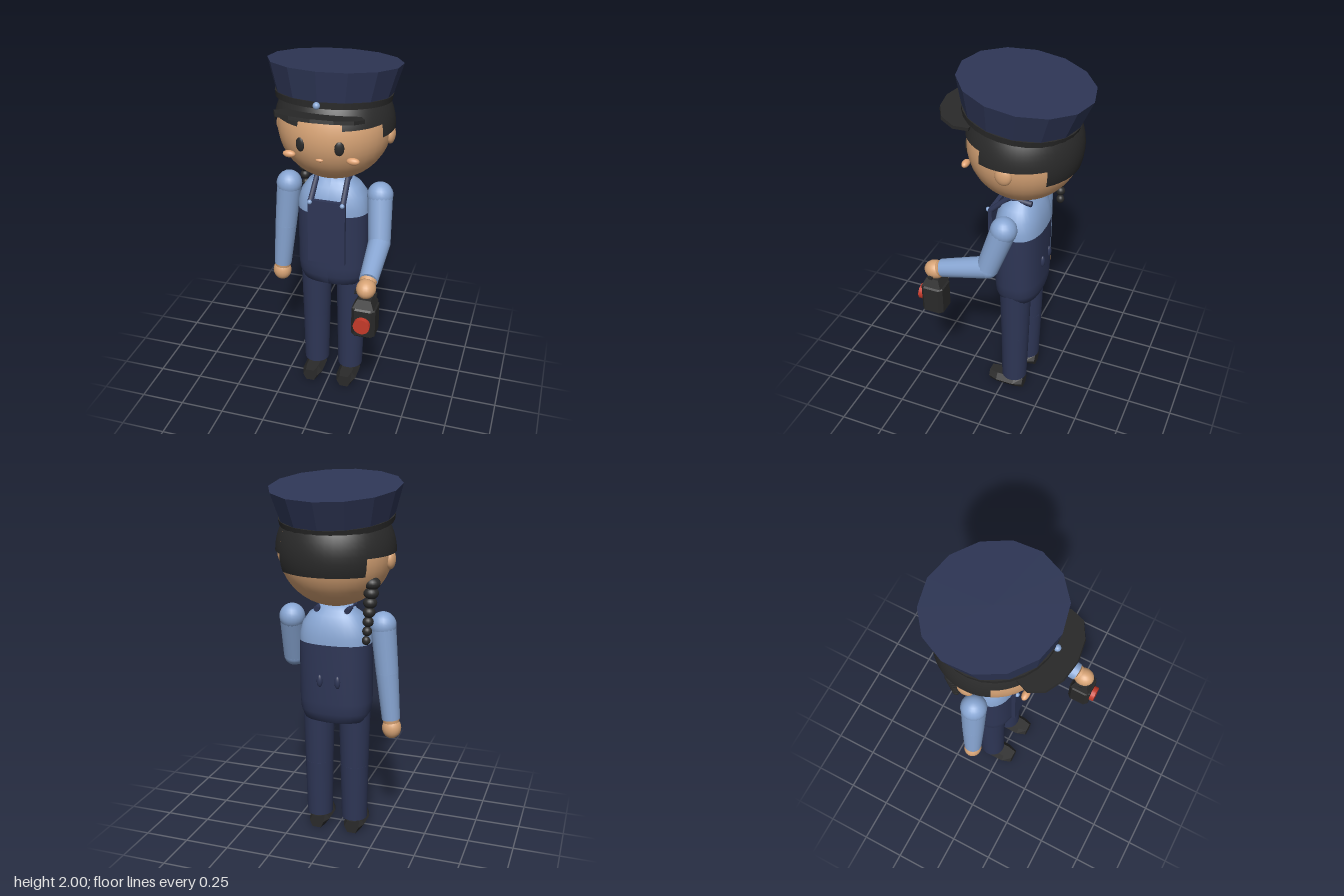
import * as THREE from 'three';

const CX = 0.005, CZ = -0.07; // body axis
const DEG = Math.PI / 180;
const V = (x, y, z) => new THREE.Vector3(x, y, z);

export function createModel() {
  const paint = (name, color, extra = {}) =>
    Object.assign(new THREE.MeshStandardMaterial({ color, ...extra }), { name });
  const navy = paint('navy', 0x2e3656);
  const navyFlat = paint('navy flat', 0x2e3656, { flatShading: true });
  const blue = paint('light blue', 0x88a6d3);
  const skin = paint('skin', 0xd8a476);
  const blush = paint('blush', 0xe2a474);
  const black = paint('black', 0x2a2a2a, { side: THREE.DoubleSide });
  const blackFlat = paint('black flat', 0x2a2a2a, { flatShading: true });
  const red = paint('red', 0xc63a2a);

  const root = new THREE.Group();
  root.name = 'figure';
  const add = (name, geo, mat, pos = V(0, 0, 0), parent = root) => {
    const m = new THREE.Mesh(geo, mat);
    m.name = name;
    m.position.copy(pos);
    parent.add(m);
    return m;
  };
  const ball = (name, mat, pos, rx, ry = rx, rz = rx, parent = root) => {
    const m = add(name, new THREE.SphereGeometry(1, 20, 14), mat, pos, parent);
    m.scale.set(rx, ry, rz);
    return m;
  };
  // Tapered tube between two points
  const limb = (name, mat, a, b, ra, rb, sides = 18) => {
    const d = b.clone().sub(a);
    const m = add(name, new THREE.CylinderGeometry(rb, ra, d.length(), sides), mat,
      a.clone().add(b).multiplyScalar(0.5));
    m.quaternion.setFromUnitVectors(V(0, 1, 0), d.normalize());
    return m;
  };
  // Lathed profile squashed into a rounded box section
  const trunk = (name, mat, profile) => {
    const geo = new THREE.LatheGeometry(profile.map(([r, y]) => new THREE.Vector2(r, y)), 32);
    const p = geo.attributes.position;
    for (let i = 0; i < p.count; i++) {
      const x = p.getX(i), z = p.getZ(i), r = Math.hypot(x, z) || 1;
      const soft = (c) => Math.sign(c) * Math.abs(c) ** 0.8;
      p.setX(i, r * soft(x / r));
      p.setZ(i, r * soft(z / r) * 0.67);
    }
    geo.computeVertexNormals();
    return add(name, geo, mat, V(CX, 0, CZ));
  };

  // Torso
  trunk('overalls', navy, [[0, 0.675], [0.13, 0.675], [0.175, 0.69], [0.195, 0.74], [0.2, 0.8], [0.2, 1.13]]);
  trunk('shirt', blue, [[0.199, 1.12], [0.197, 1.17], [0.18, 1.23], [0.145, 1.28], [0.11, 1.305], [0.09, 1.335], [0, 1.335]]);
  add('bib', new THREE.BoxGeometry(0.208, 0.38, 0.022), navy, V(CX, 1.04, 0.081));

  // Mirrored straps, buttons, back tabs, legs and shoes
  const sole = new THREE.Shape([[-0.035, 0.003], [0.035, 0.003], [0.06, 0.04], [0.035, 0.075], [-0.035, 0.075], [-0.06, 0.04]]
    .map(([x, y]) => new THREE.Vector2(x, y)));
  for (const s of [-1, 1]) {
    const x = (d) => CX + s * d;
    limb('strapFront', navy, V(x(0.09), 1.215, 0.085), V(x(0.085), 1.325, -0.03), 0.016, 0.016, 8);
    limb('strapTop', navy, V(x(0.085), 1.32, -0.03), V(x(0.085), 1.31, -0.15), 0.016, 0.016, 8);
    ball('strapButton', blue, V(x(0.09), 1.22, 0.096), 0.013);
    ball('backTab', navy, V(x(0.05), 0.93, -0.203), 0.016, 0.035, 0.014);
    limb('thigh', navy, V(x(0.104), 0.74, CZ + 0.003), V(x(0.104), 0.415, CZ + 0.004), 0.088, 0.08);
    limb('shin', navy, V(x(0.104), 0.415, CZ + 0.004), V(x(0.104), 0.083, CZ + 0.008), 0.08, 0.073);
    const shoe = new THREE.ExtrudeGeometry(sole, { depth: 0.212, steps: 4, bevelEnabled: false });
    const p = shoe.attributes.position;
    for (let i = 0; i < p.count; i++) { // narrow the toe and heel
      if (p.getZ(i) > 0.2 || p.getZ(i) < 0.01) p.setX(i, p.getX(i) * 0.7);
    }
    shoe.computeVertexNormals();
    add('shoe', shoe, blackFlat, V(x(0.105), -0.003, -0.125));
  }

  // Arms: one hanging, one bent forward
  const arm = (shoulder, elbow, wrist, hand, size) => {
    ball('shoulder', blue, shoulder, 0.071, 0.073, 0.071);
    limb('upperSleeve', blue, shoulder, elbow, 0.069, 0.061);
    ball('elbow', blue, elbow, 0.061);
    limb('lowerSleeve', blue, elbow, wrist, 0.061, 0.05);
    limb('wrist', skin, wrist, wrist.clone().lerp(hand, 0.35), 0.046, 0.044);
    ball('hand', skin, hand, ...size);
  };
  arm(V(-0.255, 1.232, CZ), V(-0.281, 0.975, CZ), V(-0.307, 0.71, CZ), V(-0.312, 0.657, CZ), [0.053, 0.06, 0.05]);
  arm(V(0.262, 1.235, -0.063), V(0.285, 0.99, 0.02), V(0.293, 0.912, 0.285), V(0.293, 0.89, 0.33), [0.052, 0.052, 0.06]);

  // Hand lamp
  const lamp = new THREE.Group();
  lamp.name = 'handLamp';
  lamp.position.set(0.293, 0, 0.335);
  root.add(lamp);
  const w = 0.062, c = 0.043;
  const plan = new THREE.Shape([[c, -w], [w, -c], [w, c], [c, w], [-c, w], [-w, c], [-w, -c], [-c, -w]]
    .map(([x, y]) => new THREE.Vector2(x, y)));
  const bodyGeo = new THREE.ExtrudeGeometry(plan, {
    depth: 0.155, bevelEnabled: true, bevelSize: 0.012, bevelThickness: 0.012, bevelOffset: -0.01, bevelSegments: 1,
  });
  bodyGeo.rotateX(-Math.PI / 2);
  add('lampBody', bodyGeo, blackFlat, V(0, 0.633, 0), lamp);
  const neck = new THREE.CylinderGeometry(0.05, 0.08, 0.045, 4);
  neck.rotateY(Math.PI / 4);
  add('lampNeck', neck, blackFlat, V(0, 0.82, 0), lamp);
  add('lampHandle', new THREE.BoxGeometry(0.118, 0.018, 0.02), blackFlat, V(0, 0.865, 0), lamp);
  const lens = new THREE.CylinderGeometry(0.044, 0.044, 0.03, 20);
  lens.rotateX(Math.PI / 2);
  add('lampLens', lens, red, V(0, 0.71, 0.075), lamp);

  // Head and face
  const HC = V(CX, 1.62, -0.075);
  const head = add('head', new THREE.SphereGeometry(0.295, 36, 24), skin, HC);
  head.scale.x = 1.02;
  for (const s of [-1, 1]) {
    const eye = ball('eye', black, V(CX + s * 0.102, 1.595, 0.2), 0.025, 0.038, 0.012);
    eye.rotation.y = s * 0.35;
    ball('cheek', blush, V(CX + s * 0.168, 1.527, 0.18), 0.034, 0.019, 0.019);
    ball('ear', skin, V(CX + s * 0.298, 1.585, -0.08), 0.025, 0.05, 0.044);
  }
  ball('nose', blush, V(CX, 1.522, 0.203), 0.02, 0.009, 0.01);

  // Hair in stepped panels: start angle, end angle, drop (degrees, 0 is front)
  for (const [a, b, drop] of [[-22, 22, 69], [22, 65, 77], [-65, -22, 77], [65, 133, 90], [-133, -65, 90], [133, 227, 108]]) {
    const geo = new THREE.SphereGeometry(0.304, 12, 16, (90 + a) * DEG, (b - a) * DEG, 0, drop * DEG);
    add('hair', geo, black, HC).scale.x = 1.045;
  }
  // Braid
  for (let i = 0; i < 7; i++) {
    const t = i / 6;
    ball('braid', black, V(-0.228 + 0.025 * t, 1.48 - 0.3 * t, -0.19 - 0.015 * t), 0.043 - 0.021 * t, 0.034 - 0.01 * t, 0.043 - 0.021 * t);
  }

  // Cap, tilted back
  const cap = new THREE.Group();
  cap.name = 'cap';
  cap.position.set(CX, 1.797, -0.06);
  cap.rotation.x = -8 * DEG;
  root.add(cap);
  add('capCrown', new THREE.CylinderGeometry(0.347, 0.302, 0.157, 14), navyFlat, V(0, 0.0785, 0), cap);
  add('capBand', new THREE.CylinderGeometry(0.305, 0.3, 0.032, 28), black, V(0, -0.012, 0), cap);
  const half = [[0.2, -0.06], [0.232, 0.01], [0.198, 0.09], [0.112, 0.14]];
  const brim = new THREE.Shape([...half, [0, 0.158], ...half.map(([x, y]) => [-x, y]).reverse()]
    .map(([x, y]) => new THREE.Vector2(x, y)));
  const visor = add('visor', new THREE.ExtrudeGeometry(brim, { depth: 0.018, bevelEnabled: false }), blackFlat, V(CX, 1.765, 0.2));
  visor.rotation.x = 77 * DEG;
  ball('capBadge', blue, V(CX, 1.827, 0.247), 0.018);

  return root;
}
